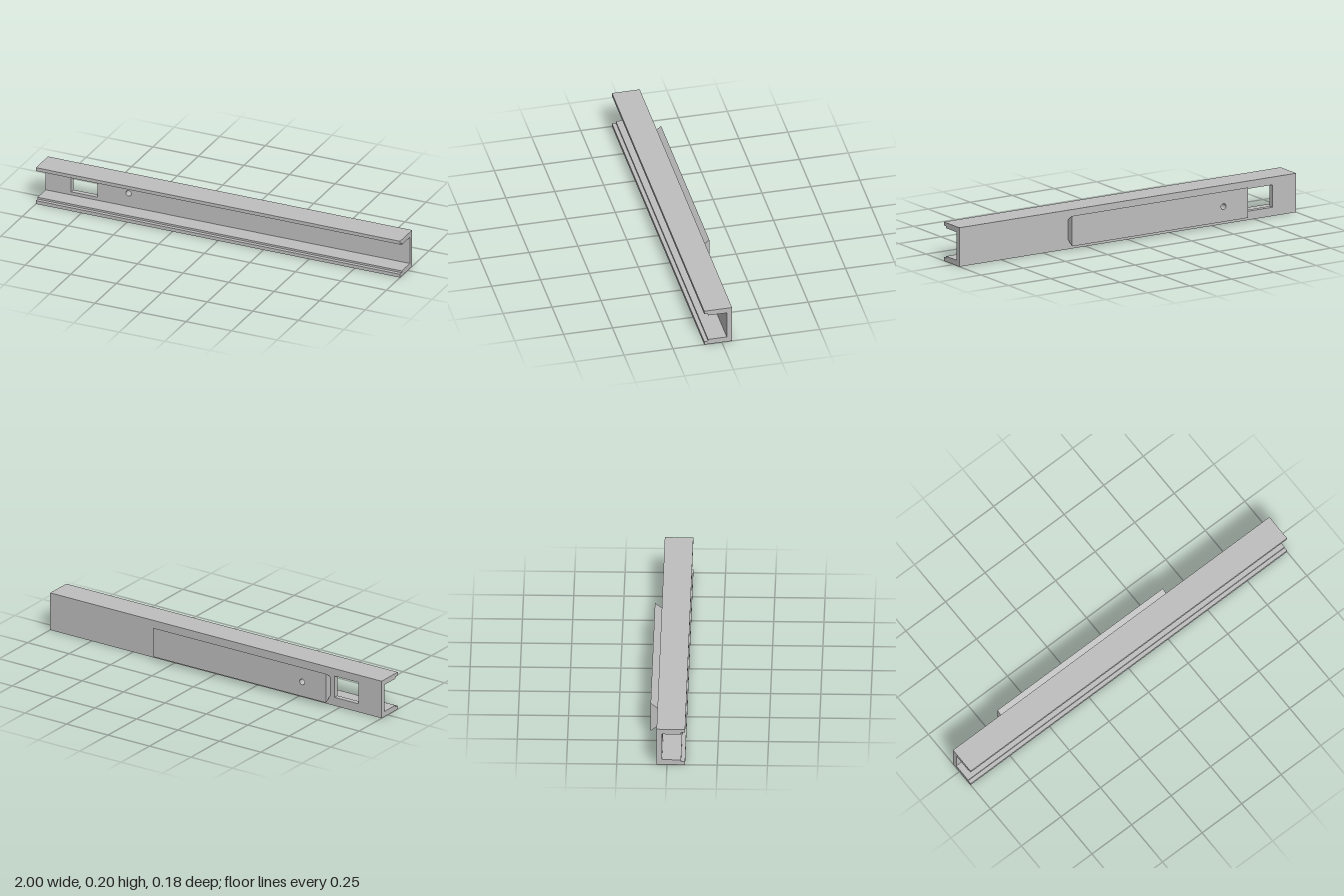
import * as THREE from 'three';
import { toCreasedNormals } from 'three/addons/utils/BufferGeometryUtils.js';

const HEIGHT = 0.2, MID = 0.1;
const FRONT = 0.09, WEB_FRONT = -0.025, WEB_BACK = -0.052, BACK = -0.088;

// Closed shape from corner points
const polygon = (pts) => new THREE.Shape(pts.map(([x, y]) => new THREE.Vector2(x, y)));
const rect = (x0, x1, y0, y1) => polygon([[x0, y0], [x1, y0], [x1, y1], [x0, y1]]);

function screwHole() {
  const path = new THREE.Path();
  path.absarc(-0.545, MID, 0.015, 0, Math.PI * 2, true);
  return path;
}

// Extrude a shape in x-y between two depths
function slab(shape, z0, z1) {
  const geo = new THREE.ExtrudeGeometry(shape, { depth: z1 - z0, bevelEnabled: false, curveSegments: 16 });
  return geo.translate(0, 0, z0);
}

export function createModel() {
  const group = new THREE.Group();
  const metal = new THREE.MeshStandardMaterial({ color: 0xbebebe });
  metal.name = 'greyMetal';
  const add = (name, geo) => {
    const mesh = new THREE.Mesh(toCreasedNormals(geo, 0.5), metal);
    mesh.name = name;
    group.add(mesh);
  };

  // Back wall of the channel, with a window and a screw hole
  const web = rect(-1, 1, 0, HEIGHT);
  web.holes.push(rect(-0.86, -0.715, 0.045, 0.16), screwHole());
  add('channelWeb', slab(web, WEB_BACK, WEB_FRONT));

  // Stepped flanges, mirrored top and bottom
  const profile = [
    [WEB_FRONT, 0], [FRONT, 0], [FRONT, 0.018], [0.07, 0.018], [0.07, 0.028], [WEB_FRONT, 0.028],
  ];
  for (const top of [false, true]) {
    const shape = polygon(profile.map(([z, y]) => [-z, top ? HEIGHT - y : y]));
    const geo = new THREE.ExtrudeGeometry(shape, { depth: 2, bevelEnabled: false });
    geo.rotateY(Math.PI / 2).translate(-1, 0, 0);
    add(top ? 'topFlange' : 'bottomFlange', geo);
  }

  // Dovetail rail on the back: its outer face is wider than its root
  const rail = rect(-0.69, 0.355, 0.05, 0.15);
  rail.holes.push(screwHole());
  const railGeo = slab(rail, BACK, WEB_BACK);
  const pos = railGeo.attributes.position;
  for (let i = 0; i < pos.count; i++) {
    const dy = pos.getY(i) - MID;
    if (Math.abs(dy) > 0.04 && pos.getZ(i) < -0.07) pos.setY(i, MID + Math.sign(dy) * 0.078);
  }
  add('dovetailRail', railGeo);

  return group;
}
